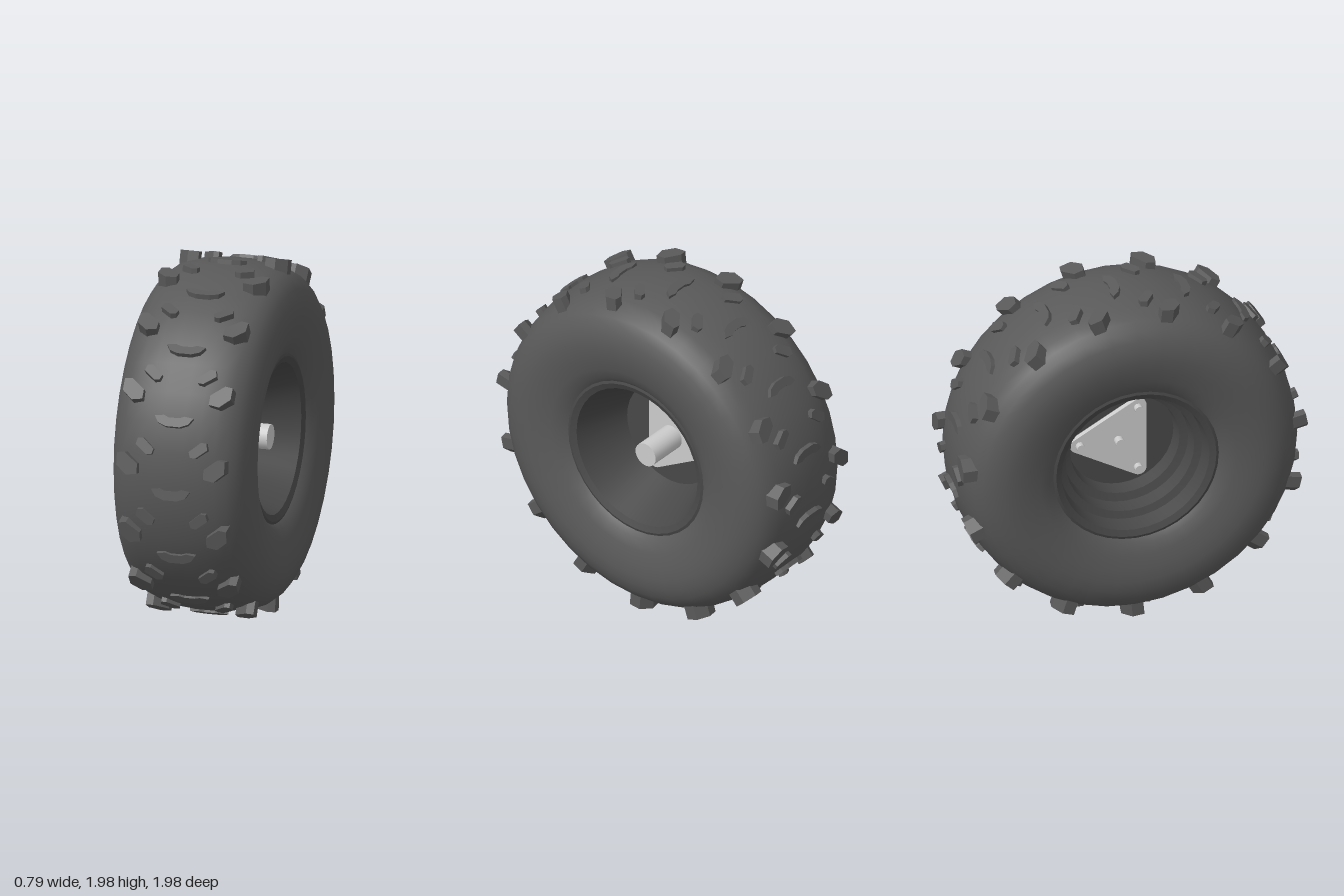
import * as THREE from 'three';
import { toCreasedNormals } from 'three/addons/utils/BufferGeometryUtils.js';

const rubber = new THREE.MeshStandardMaterial({ color: 0x595959 });
const knobRubber = new THREE.MeshStandardMaterial({ color: 0x595959, flatShading: true });
const rimMetal = new THREE.MeshStandardMaterial({ color: 0x484848 });
const grey = new THREE.MeshStandardMaterial({ color: 0xcccccc });

const add = (parent, name, geometry, material) => {
  const mesh = new THREE.Mesh(geometry, material);
  mesh.name = name;
  parent.add(mesh);
  return mesh;
};

// Revolve [radius, x] points around the x axis
function revolve(points, crease) {
  const g = new THREE.LatheGeometry(points.map(([r, x]) => new THREE.Vector2(r, x)), 36);
  g.rotateZ(-Math.PI / 2);
  return toCreasedNormals(g, crease);
}

// Cylinder along x between two x positions
function rod(radius, x0, x1, sides) {
  const g = new THREE.CylinderGeometry(radius, radius, x1 - x0, sides);
  return g.rotateZ(-Math.PI / 2).translate((x0 + x1) / 2, 0, 0);
}

// Tread block: outline across (x) and along (y) the tyre, rising outwards along z
function knob(outline, top, height, tilt) {
  const shape = new THREE.Shape(outline.map(([x, y]) => new THREE.Vector2(x, y)));
  const g = new THREE.ExtrudeGeometry(shape, { depth: height, bevelEnabled: false });
  return g.translate(0, 0, -height).rotateX(tilt).translate(0, 0, top);
}

export function createModel() {
  const model = new THREE.Group();
  const wheel = new THREE.Group();
  wheel.name = 'wheel';
  wheel.position.y = 0.99;
  model.add(wheel);

  // Tyre carcass, mirrored profile from bead to bead
  const half = [
    [0.47, 0.32], [0.5, 0.345], [0.56, 0.368], [0.64, 0.386], [0.71, 0.394], [0.77, 0.389],
    [0.83, 0.37], [0.88, 0.338], [0.915, 0.295], [0.94, 0.235], [0.957, 0.15], [0.967, 0.06],
  ];
  const profile = [...half.map(([r, x]) => [r, -x]), ...half.slice().reverse()];
  add(wheel, 'tyre', revolve(profile, 0.7), rubber);

  // Rim: plain cone on the left side, stepped dish on the right side
  add(wheel, 'rimCone', revolve([
    [0.47, 0.32], [0.455, 0.325], [0.42, 0.31], [0.305, 0.01], [0, 0.01],
  ], 0.4), rimMetal);
  add(wheel, 'rimSteps', revolve([
    [0, -0.015], [0.3, -0.015], [0.31, -0.1], [0.355, -0.115], [0.365, -0.2],
    [0.405, -0.215], [0.42, -0.31], [0.455, -0.325], [0.47, -0.32],
  ], 0.4), rimMetal);

  // Tread: crescents down the middle, two rows of hexagonal blocks on each side
  const crescent = knob([
    [-0.11, 0.012], [-0.085, -0.025], [-0.04, -0.043], [0.04, -0.043], [0.085, -0.025],
    [0.11, 0.012], [0.06, 0.02], [0.03, 0.008], [-0.03, 0.008], [-0.06, 0.02],
  ], 0.982, 0.05, -0.2);
  const inner = [
    [0.1, -0.012], [0.11, -0.042], [0.14, -0.046], [0.205, 0.005], [0.195, 0.042], [0.165, 0.045],
  ];
  const outer = [
    [0.19, -0.055], [0.25, -0.065], [0.308, -0.015], [0.308, 0.052], [0.265, 0.058], [0.19, 0.0],
  ];
  const mirror = (pts) => pts.map(([x, y]) => [-x, y]).reverse();
  const blocks = [
    ['centreKnob', crescent, -2.7],
    ['innerKnobLeft', knob(inner, 0.98, 0.06, -0.15), 12],
    ['innerKnobRight', knob(mirror(inner), 0.98, 0.06, -0.15), 12],
    ['outerKnobLeft', knob(outer, 0.983, 0.1, -0.1), 6],
    ['outerKnobRight', knob(mirror(outer), 0.983, 0.1, -0.1), 6],
  ];
  const count = 15;
  for (let i = 0; i < count; i++) {
    for (const [name, geometry, phase] of blocks) {
      const block = add(wheel, name, geometry, knobRubber);
      block.rotation.x = -THREE.MathUtils.degToRad(phase + (i * 360) / count);
    }
  }

  // Hub: rounded triangular plate through the rim disc, its tip towards the back
  const hub = new THREE.Group();
  hub.name = 'hub';
  hub.position.z = -0.02;
  wheel.add(hub);
  const corners = [0, 1, 2].map((k) => (k * 2 * Math.PI) / 3);
  const reach = 0.232, round = 0.043;
  const plate = new THREE.Shape();
  for (const a of corners) {
    plate.absarc(Math.cos(a) * reach, Math.sin(a) * reach, round, a - Math.PI / 3, a + Math.PI / 3, false);
  }
  const plateGeometry = new THREE.ExtrudeGeometry(plate, { depth: 0.075, bevelEnabled: false, curveSegments: 8 });
  plateGeometry.rotateY(Math.PI / 2).translate(-0.045, 0, 0);
  add(hub, 'hubPlate', toCreasedNormals(plateGeometry, 0.6), grey);

  // Axle on the left side, its end and three bolts on the right side
  add(hub, 'axle', rod(0.07, 0.02, 0.26, 24), grey);
  add(hub, 'axleEnd', rod(0.026, -0.09, -0.04, 12), grey);
  for (const a of corners) {
    const bolt = add(hub, 'bolt', rod(0.024, -0.08, -0.04, 10), grey);
    bolt.position.set(0, Math.sin(a) * reach * 0.95, -Math.cos(a) * reach * 0.95);
  }
  return model;
}
